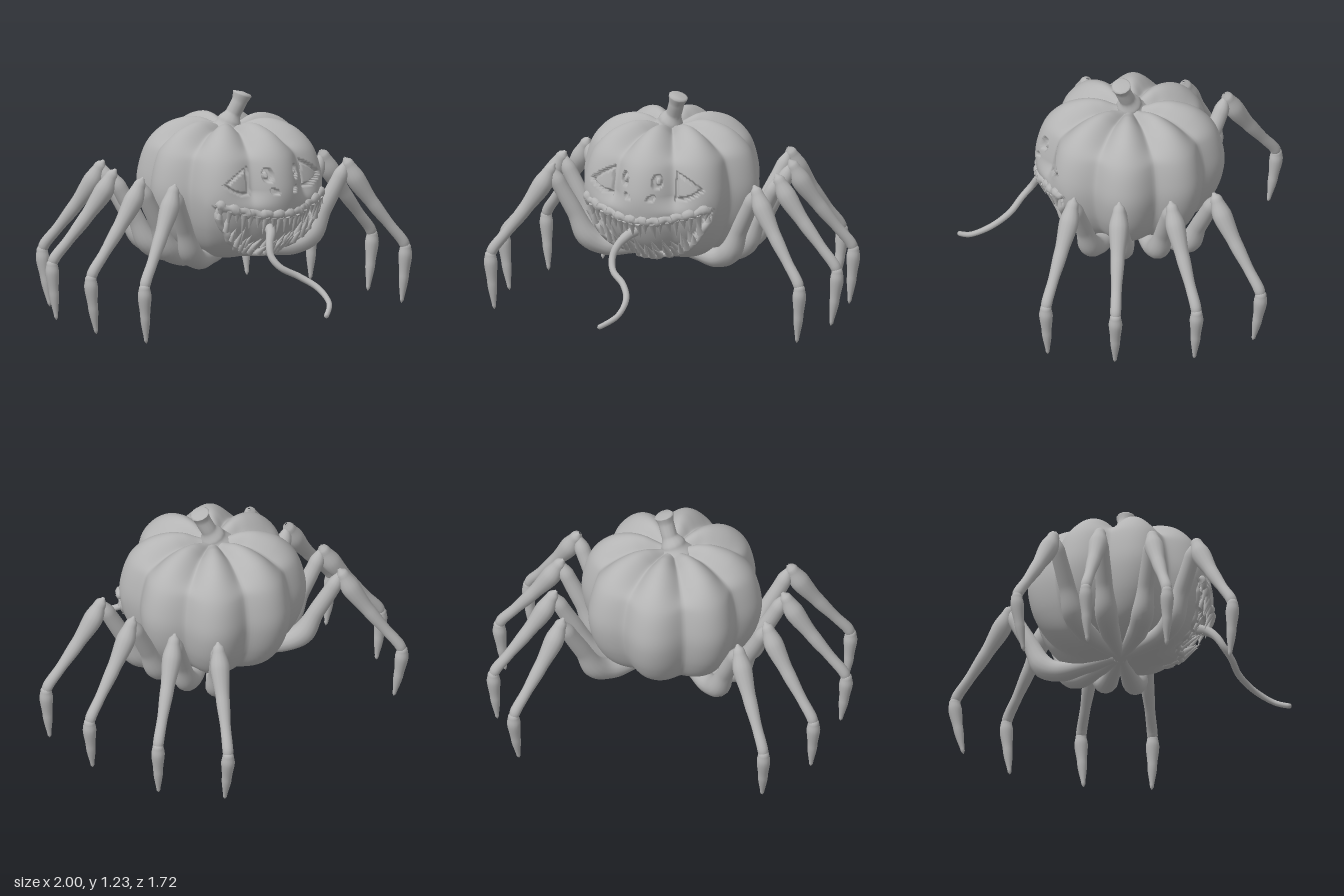
import * as THREE from 'three';
import { mergeVertices, mergeGeometries } from 'three/addons/utils/BufferGeometryUtils.js';
import { ParametricGeometry } from 'three/addons/geometries/ParametricGeometry.js';

const clay = new THREE.MeshStandardMaterial({ color: 0xb4b4b4 });
clay.name = 'clay grey';

const V = (x, y, z) => new THREE.Vector3(x, y, z);
const step = THREE.MathUtils.smoothstep;
const CZ = -0.085; // pumpkin axis in z

// Pumpkin profile, bottom to top: radius, height
const profile = new THREE.SplineCurve([
  [0, 0.36], [0.1, 0.345], [0.26, 0.355], [0.385, 0.42], [0.465, 0.54], [0.502, 0.68], [0.495, 0.8],
  [0.45, 0.93], [0.36, 1.025], [0.25, 1.07], [0.16, 1.072], [0.08, 1.045], [0, 1.02],
].map(([r, y]) => new THREE.Vector2(r, y)));
const samples = profile.getPoints(400);

// How far a lobe sinks at an angle (0 = front); the face fills the grooves
function groove(theta, y) {
  const c = Math.cos(4 * theta);
  const g = 1.015 - Math.sqrt(c * c + 0.03);
  const face = (1 - step(Math.abs(theta), 0.8, 1.0)) * (1 - step(y, 0.66, 0.76)) * step(y, 0.38, 0.48);
  return g * (1 - 0.6 * face);
}
const lobe = (theta, y) => (1 - 0.155 * groove(theta, y)) * (1 + 0.015 * Math.cos(2 * theta));

// Point on the front of the pumpkin at x, y
function surf(x, y, lift = 0) {
  const i = Math.max(1, samples.findIndex((p, k) => k > 80 && p.y >= y));
  const a = samples[i - 1], b = samples[i];
  const r = THREE.MathUtils.mapLinear(y, a.y, b.y, a.x, b.x);
  let theta = Math.asin(THREE.MathUtils.clamp(x / r, -1, 1));
  for (let k = 0; k < 8; k++) theta = Math.asin(THREE.MathUtils.clamp(x / (r * lobe(theta, y)), -1, 1));
  return V(x, y, CZ + r * lobe(theta, y) * Math.cos(theta) + lift);
}

// Mouth edges
const lipTop = (x) => 0.61 + 0.075 * (x / 0.37) ** 2;
const lipBottom = (x) => { const q = (x / 0.37) ** 2; return 0.385 + 0.12 * q + 0.17 * q * q; };

// Depth of the carving for eyes, nose and mouth
function carve(x, y) {
  const ax = Math.abs(x);
  let d = 0;
  if (ax < 0.38) d = 0.045 * step(Math.min(lipTop(x) - y, y - lipBottom(x)), 0, 0.025);
  // Almond-cornered triangular eyes: a deep rim with a raised eyeball
  const t = (ax - 0.175) / 0.165;
  if (t > -0.1 && t < 1.1) {
    const upper = 0.89 - 0.1 * t + 0.012 * Math.sin(Math.PI * t);
    const lower = 0.725 + 0.065 * t - 0.02 * Math.sin(Math.PI * t);
    const e = Math.min(ax - 0.175, upper - y, y - lower);
    d = Math.max(d, 0.035 * step(e, 0, 0.01) - 0.024 * step(e, 0.012, 0.028));
  }
  // Small oval eyes and nostrils
  const oval = (cx, cy, rx, ry) => Math.hypot((ax - cx) / rx, (y - cy) / ry);
  const o = oval(0.092, 0.837, 0.029, 0.044);
  d = Math.max(d, 0.035 * (1 - step(o, 0.75, 1.05)));
  d -= 0.025 * (1 - step(oval(0.1, 0.837, 0.017, 0.026), 0.4, 1));
  return Math.max(d, 0.028 * (1 - step(oval(0.068 + (y - 0.75) * 0.4, 0.75, 0.026, 0.022), 0.6, 1.05)));
}

function pumpkinGeometry() {
  return new ParametricGeometry((u, v, out) => {
    const w = 2 * Math.PI * (u - 0.5);
    const theta = w - 0.55 * Math.sin(w); // finer mesh at the face
    const p = profile.getPoint(v);
    let r = p.x * lobe(theta, p.y);
    const y = p.y - 0.06 * groove(theta, p.y) * step(p.y, 0.9, 1.05) * step(p.x, 0, 0.2);
    if (Math.abs(theta) < 1.2 && p.y < 0.93 && p.y > 0.37) r -= carve(r * Math.sin(theta), p.y);
    out.set(r * Math.sin(theta), y, CZ + r * Math.cos(theta));
  }, 250, 150);
}

// Round limb through the points, with a radius at each point
function limb(points, radii, segs = 40, sides = 14) {
  const curve = new THREE.CatmullRomCurve3(points, false, 'centripetal');
  const geo = new THREE.TubeGeometry(curve, segs, 1, sides);
  const pos = geo.attributes.position, p = V(0, 0, 0);
  for (let i = 0; i <= segs; i++) {
    const c = curve.getPointAt(i / segs);
    const k = curve.getUtoTmapping(i / segs) * (points.length - 1);
    const a = Math.min(Math.floor(k), points.length - 2);
    const r = THREE.MathUtils.lerp(radii[a], radii[a + 1], step(k - a, 0, 1));
    for (let j = 0; j <= sides; j++) {
      const n = i * (sides + 1) + j;
      p.fromBufferAttribute(pos, n).sub(c).multiplyScalar(r).add(c);
      pos.setXYZ(n, p.x, p.y, p.z);
    }
  }
  geo.deleteAttribute('uv');
  geo.deleteAttribute('normal');
  const merged = mergeVertices(geo, 1e-5);
  merged.computeVertexNormals();
  return merged;
}

// Pointed tooth from base to tip
function tooth(base, tip, radius) {
  const dir = tip.clone().sub(base), h = dir.length();
  const geo = new THREE.ConeGeometry(radius, h, 8, 3).translate(0, h / 2, 0);
  geo.applyQuaternion(new THREE.Quaternion().setFromUnitVectors(V(0, 1, 0), dir.normalize()));
  return geo.translate(base.x, base.y, base.z);
}

export function createModel() {
  const model = new THREE.Group();
  model.name = 'pumpkinSpider';
  const add = (geo, name, parent = model) => {
    const mesh = new THREE.Mesh(geo, clay);
    mesh.name = name;
    parent.add(mesh);
  };

  add(pumpkinGeometry(), 'pumpkin');

  // Stem: flared foot, leaning, cut flat at the top
  add(limb([V(-0.02, 1.0, -0.085), V(-0.005, 1.05, -0.08), V(0.018, 1.1, -0.07), V(0.04, 1.16, -0.05),
    V(0.056, 1.208, -0.04), V(0.059, 1.216, -0.04)], [0.1, 0.068, 0.043, 0.043, 0.054, 0], 40, 12), 'stem');

  // Lumpy gums along both lips
  const gum = (edge, lift, r, name) => {
    const pts = [], radii = [];
    for (let i = 0; i <= 36; i++) {
      const x = -0.365 + 0.73 * i / 36;
      pts.push(surf(x, edge(x) + 0.006 * Math.sin(i * 2.1), lift));
      radii.push(i % 36 ? r * (1 + 0.22 * Math.sin(i * 1.7)) : 0.004);
    }
    add(limb(pts, radii, 110, 10), name);
  };
  gum((x) => lipTop(x) + 0.012, -0.008, 0.026, 'upperGum');
  gum((x) => lipBottom(x) - 0.002, -0.01, 0.018, 'lowerGum');

  // Rows of teeth: count, edge, direction, length, lift
  const row = (n, edge, dir, len, lift, name) => {
    const geos = [];
    for (let i = 0; i < n; i++) {
      const x = -0.345 + 0.69 * i / (n - 1);
      const room = lipTop(x) - lipBottom(x);
      const h = Math.min(len * (0.85 + 0.25 * Math.sin(i * 2.4)), room * 0.75 + 0.01);
      const y = edge(x);
      const lean = 0.012 * Math.sin(i * 3.1);
      geos.push(tooth(surf(x, y, lift), surf(x + lean, y + dir * h, lift + 0.006), 0.02));
    }
    add(mergeGeometries(geos), name);
  };
  row(19, lipTop, -1, 0.1, 0.004, 'upperTeeth');
  row(18, lipBottom, 1, 0.09, 0.002, 'lowerTeeth');
  row(15, (x) => lipBottom(x) + 0.03, 1, 0.09, -0.02, 'innerTeeth');

  // Long curling tongue
  add(limb([V(-0.05, 0.54, 0.33), V(-0.08, 0.52, 0.38), V(-0.12, 0.47, 0.42), V(-0.135, 0.41, 0.455),
    V(-0.11, 0.355, 0.505), V(-0.03, 0.305, 0.565), V(0.025, 0.25, 0.66), V(0.015, 0.185, 0.77),
    V(-0.06, 0.137, 0.84), V(-0.07, 0.133, 0.847)],
  [0.03, 0.026, 0.021, 0.019, 0.018, 0.018, 0.017, 0.015, 0.014, 0], 80, 10), 'tongue');

  // Legs: knee, ankle and tip as [x, z]
  const legs = [
    [[0.59, 0.185], [0.895, 0.315], [0.875, 0.305]],
    [[0.62, -0.065], [0.965, -0.066], [0.93, -0.06]],
    [[0.59, -0.345], [0.89, -0.5], [0.87, -0.485]],
    [[0.49, -0.575], [0.695, -0.835], [0.675, -0.79]],
  ];
  for (const s of [1, -1]) {
    legs.forEach(([knee, ankle, tip], i) => {
      const leg = new THREE.Group();
      leg.name = `${s > 0 ? 'left' : 'right'}Leg${i + 1}`;
      model.add(leg);
      const mix = (a, b, t, y) => V(s * (a[0] + (b[0] - a[0]) * t), y, a[1] + (b[1] - a[1]) * t);
      const hub = [0, CZ];
      // Thigh: runs out under the belly, then climbs to the knee
      add(limb([mix(hub, knee, 0.05, 0.36), mix(hub, knee, 0.3, 0.352), mix(hub, knee, 0.55, 0.357),
        mix(hub, knee, 0.7, 0.41), mix(hub, knee, 0.81, 0.55), mix(hub, knee, 0.95, 0.72), mix(hub, knee, 1.01, 0.812)],
      [0.03, 0.043, 0.055, 0.062, 0.046, 0.042, 0.012], 50), 'thigh', leg);
      // Shin: swollen below the knee, thin towards a knobbed ankle
      add(limb([mix(knee, ankle, -0.04, 0.822), mix(knee, ankle, 0.02, 0.79), mix(knee, ankle, 0.16, 0.7),
        mix(knee, ankle, 0.45, 0.56), mix(knee, ankle, 0.75, 0.43), mix(knee, ankle, 0.97, 0.335), mix(knee, ankle, 1, 0.29)],
      [0.006, 0.033, 0.053, 0.038, 0.029, 0.03, 0.02], 50), 'shin', leg);
      // Claw: pointed foot
      add(limb([mix(ankle, tip, 0, 0.345), mix(ankle, tip, 0, 0.315), mix(ankle, tip, 0.05, 0.265),
        mix(ankle, tip, 0.4, 0.15), mix(ankle, tip, 0.9, 0.02), mix(ankle, tip, 1, 0)],
      [0.008, 0.03, 0.037, 0.027, 0.011, 0], 36), 'claw', leg);
    });
  }
  return model;
}
